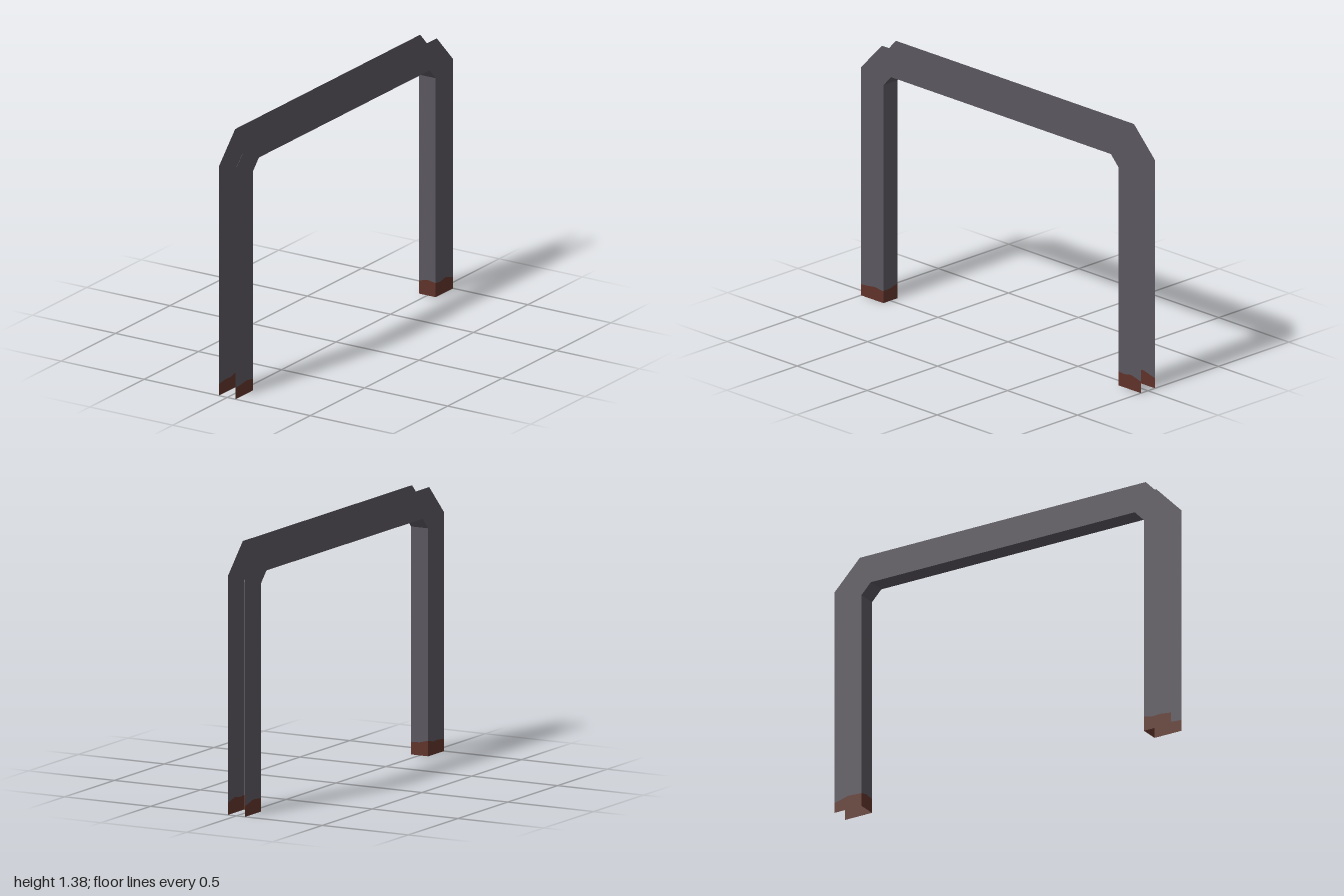
import * as THREE from 'three';

const W = 0.05; // half width of the channel

export function createModel() {
  const group = new THREE.Group();
  const material = (name, color) => {
    const m = new THREE.MeshStandardMaterial({ color, side: THREE.DoubleSide });
    m.name = name;
    return m;
  };
  const steel = material('greySteel', 0x5a565e);
  const rust = material('rustBrown', 0x5f3329);

  // Flat panel from 2D points
  const panel = (points) =>
    new THREE.ShapeGeometry(new THREE.Shape(points.map(([a, b]) => new THREE.Vector2(a, b))));
  const add = (name, geometry, mat) => {
    const mesh = new THREE.Mesh(geometry, mat);
    mesh.name = name;
    group.add(mesh);
  };

  // Ragged rust edges [z, y] on each side plate, from front to back
  const sides = [
    { name: 'left', x: W,
      front: [[1, 0.06], [0.95, 0.064], [0.9, 0.071], [0.84, 0.062]],
      back: [[-0.84, 0.075], [-0.88, 0.071], [-0.93, 0.08], [-1, 0.062]] },
    { name: 'right', x: -W,
      front: [[1, 0.062], [0.94, 0.07], [0.89, 0.068], [0.84, 0.08]],
      back: [[-0.84, 0.07], [-0.92, 0.075], [-0.96, 0.064], [-1, 0.055]] },
  ];
  for (const { name, x, front, back } of sides) {
    // (z, y) outline turned into the plane of the plate
    const plate = (points) => panel(points).rotateY(-Math.PI / 2).translate(x, 0, 0);
    add(name + 'SidePlate', plate([
      [1, 1.225], ...front, [0.84, 1.17], [0.785, 1.228],
      [-0.785, 1.228], [-0.84, 1.17], ...back, [-1, 1.225], [-0.85, 1.38], [0.85, 1.38],
    ]), steel);
    add(name + 'FrontFootRust', plate([...front, [0.84, 0], [1, 0]]), rust);
    add(name + 'BackFootRust', plate([...back, [-1, 0], [-0.84, 0]]), rust);
  }

  // Inner web of each leg, with its rusty foot
  const legs = [
    { name: 'front', z: 0.84, edge: [[-W, 0.08], [0, 0.067], [W, 0.065]] },
    { name: 'back', z: -0.84, edge: [[-W, 0.07], [0, 0.083], [W, 0.075]] },
  ];
  for (const { name, z, edge } of legs) {
    add(name + 'LegWeb', panel([...edge, [W, 1.17], [-W, 1.17]]).translate(0, 0, z), steel);
    add(name + 'WebRust', panel([[-W, 0], [W, 0], ...[...edge].reverse()]).translate(0, 0, z), rust);
  }

  // Inner web of the beam and its two corner braces
  const strip = (z0, y0, z1, y1) => {
    const g = new THREE.PlaneGeometry(2 * W, Math.hypot(z1 - z0, y1 - y0));
    g.rotateX(Math.atan2(z1 - z0, y1 - y0));
    return g.translate(0, (y0 + y1) / 2, (z0 + z1) / 2);
  };
  add('beamWeb', strip(0.785, 1.228, -0.785, 1.228), steel);
  add('frontCornerWeb', strip(0.84, 1.17, 0.785, 1.228), steel);
  add('backCornerWeb', strip(-0.785, 1.228, -0.84, 1.17), steel);

  return group;
}
